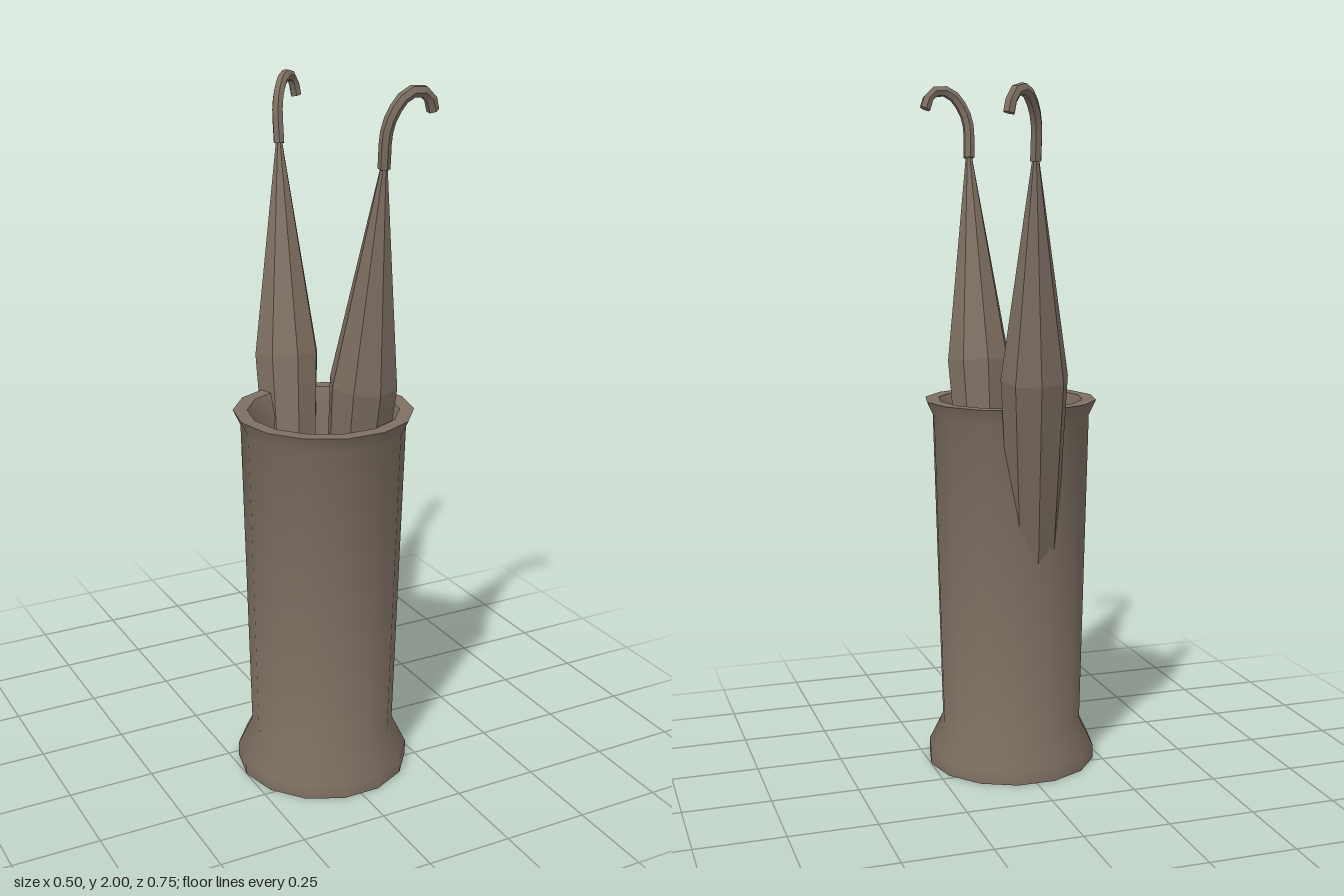
import * as THREE from 'three';
import { toCreasedNormals } from 'three/addons/utils/BufferGeometryUtils.js';

const v2 = (pairs) => pairs.map(([x, y]) => new THREE.Vector2(x, y));

export function createModel() {
  const model = new THREE.Group();
  model.name = 'umbrellaStand';
  const brown = new THREE.MeshStandardMaterial({ color: 0x7d6f62 });
  brown.name = 'warm brown';

  // Turned geometry; creases sharper than the given angle stay hard
  const turned = (profile, sides, crease) =>
    toCreasedNormals(new THREE.LatheGeometry(v2(profile), sides, Math.PI / 2), crease);

  const add = (parent, name, geometry) => {
    const mesh = new THREE.Mesh(geometry, brown);
    mesh.name = name;
    parent.add(mesh);
    return mesh;
  };

  // Hollow stand with a flared foot and rim
  const stand = add(model, 'stand', turned([
    [0, 0], [0.25, 0], [0.25, 0.04], [0.208, 0.125], [0.231, 1.05], [0.252, 1.095],
    [0.212, 1.095], [0.19, 1.03], [0.19, 0.04], [0, 0.04],
  ], 14, 0.7));
  stand.position.z = 0.127;

  // Furled canopy, measured down from the handle joint
  const canopy = turned([
    [0, -1.655], [0.009, -1.655], [0.07, -1.11], [0.095, -0.6], [0.01, 0], [0.01, 0.02], [0, 0.02],
  ], 8, 0.1);

  // Hooked handle: a hexagon swept along a crook
  const crook = new THREE.CatmullRomCurve3([
    [0, 0], [-0.002, 0.1], [0.015, 0.15], [0.045, 0.187], [0.08, 0.197], [0.11, 0.183], [0.127, 0.143],
  ].map(([x, y]) => new THREE.Vector3(x, y, 0)));
  const hexagon = new THREE.Shape(v2([0, 1, 2, 3, 4, 5].map((i) => {
    const a = (i * Math.PI) / 3;
    return [0.0165 * Math.cos(a), 0.0165 * Math.sin(a)];
  })));
  const handle = toCreasedNormals(
    new THREE.ExtrudeGeometry(hexagon, { steps: 10, extrudePath: crook, bevelEnabled: false }), 0.6);

  // Places an umbrella by its joint, its tip and the way its hook points
  const addUmbrella = (name, joint, tip, hook) => {
    const umbrella = new THREE.Group();
    umbrella.name = name;
    const up = joint.clone().sub(tip).normalize();
    const side = hook.clone().addScaledVector(up, -hook.dot(up)).normalize();
    umbrella.quaternion.setFromRotationMatrix(
      new THREE.Matrix4().makeBasis(side, up, side.clone().cross(up)));
    umbrella.position.copy(joint);
    add(umbrella, 'canopy', canopy);
    add(umbrella, 'handle', handle);
    model.add(umbrella);
  };
  const p = (x, y, z) => new THREE.Vector3(x, y, z);
  addUmbrella('frontUmbrella', p(0.06, 1.79, 0.335), p(0.06, 0.155, 0.085), p(1, 0, 0));
  addUmbrella('backUmbrella', p(0.052, 1.775, -0.25), p(-0.053, 0.16, 0.078), p(0.77, -0.176, -0.6));

  return model;
}
